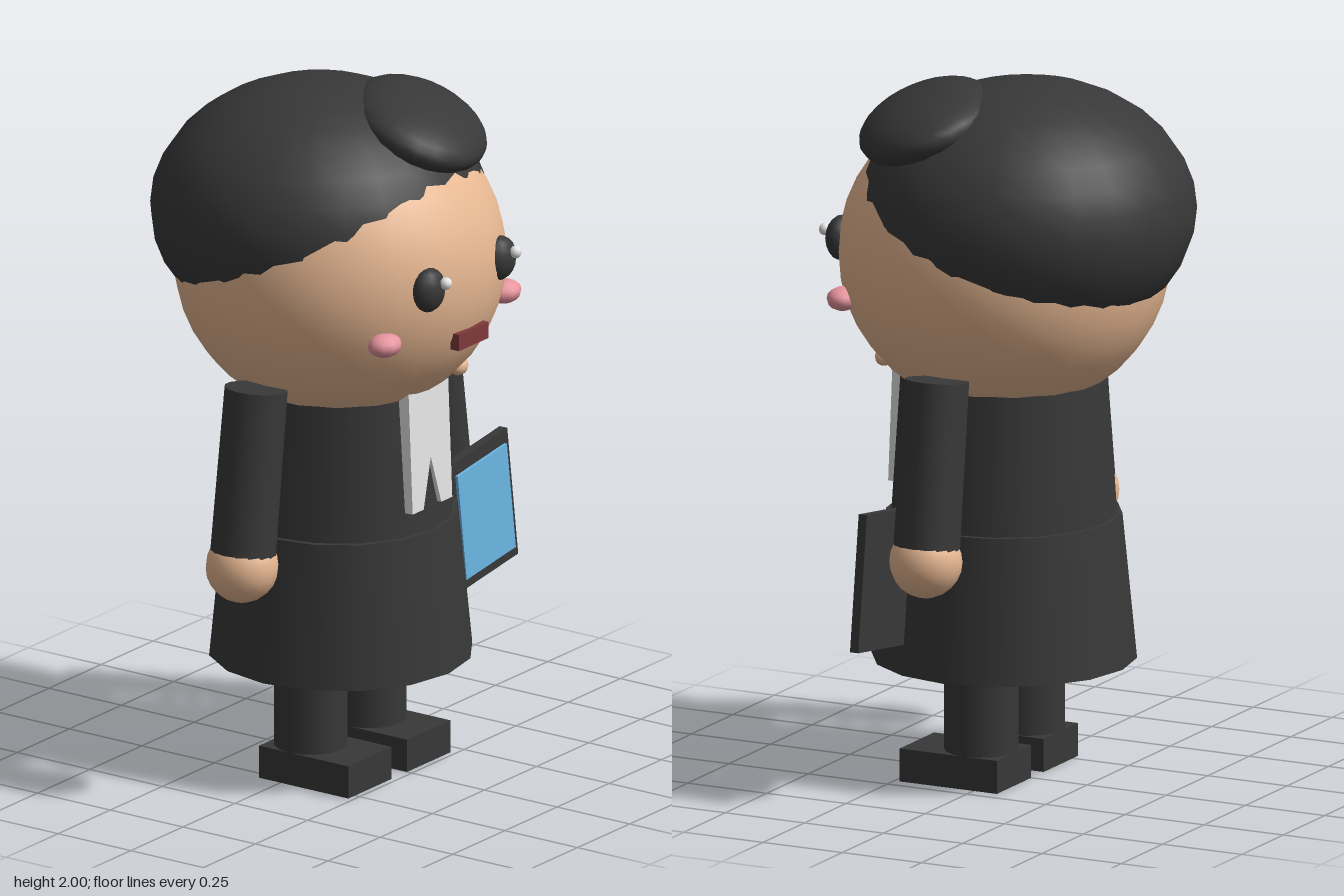
import * as THREE from 'three';

const material = (name, color) => {
  const m = new THREE.MeshStandardMaterial({ color });
  m.name = name;
  return m;
};

export function createModel() {
  const dark = material('charcoal', 0x383838);
  const skin = material('skin', 0xf0bf98);
  const white = material('white', 0xf5f5f5);
  const pink = material('cheekPink', 0xe8959f);
  const red = material('mouthRed', 0x803a3c);
  const blue = material('screenBlue', 0x70bdee);

  const model = new THREE.Group();
  model.name = 'figure';
  const CX = -0.035, CZ = 0.03; // axis of the body

  const add = (name, geometry, mat, x, y, z, parent = model) => {
    const mesh = new THREE.Mesh(geometry, mat);
    mesh.name = name;
    mesh.position.set(x, y, z);
    parent.add(mesh);
    return mesh;
  };
  const ball = (name, mat, x, y, z, rx, ry = rx, rz = rx, w = 16, h = 12) =>
    add(name, new THREE.SphereGeometry(1, w, h).scale(rx, ry, rz), mat, x, y, z);
  const tube = (name, mat, x, y0, y1, z, r0, r1, seg = 16) =>
    add(name, new THREE.CylinderGeometry(r1, r0, y1 - y0, seg), mat, x, (y0 + y1) / 2, z);

  // Gown
  tube('torso', dark, CX, 0.75, 1.2, CZ, 0.317, 0.288);
  tube('skirt', dark, CX, 0.335, 0.752, CZ, 0.373, 0.332);

  // Head and hair
  ball('head', skin, CX - 0.003, 1.5, CZ, 0.467, 0.45, 0.467, 32, 20);
  ball('hair', dark, CX - 0.004, 1.63, -0.04, 0.476, 0.37, 0.476, 24, 16);
  const quiff = ball('hairQuiff', dark, 0.102, 1.884, 0.204, 0.28, 0.088, 0.2, 24, 16);
  quiff.rotation.set(0.38, 0.576, 0, 'YXZ');

  // Face
  for (const s of [-1, 1]) {
    const side = s > 0 ? 'left' : 'right';
    ball(side + 'Eye', dark, CX + s * 0.17, 1.528, 0.455, 0.058, 0.064, 0.042, 12, 10);
    ball(side + 'EyeGlint', white, CX + 0.017 + s * 0.167, 1.55, 0.5, 0.018, 0.018, 0.018, 8, 6);
    ball(side + 'Cheek', pink, CX - 0.003 + s * 0.287, 1.385, 0.39, 0.054, 0.034, 0.046, 10, 8);
  }
  add('mouth', new THREE.BoxGeometry(0.142, 0.048, 0.03), red, CX - 0.002, 1.35, 0.475);
  ball('chinSpot', skin, 0.106, 1.192, 0.335, 0.032, 0.026, 0.026, 10, 8);

  // Arms and hands, hanging slightly outwards
  for (const s of [-1, 1]) {
    const side = s > 0 ? 'left' : 'right';
    const top = new THREE.Vector3(CX + s * 0.405, 1.218, CZ);
    const end = new THREE.Vector3(CX + s * 0.473, 0.71, CZ);
    const arm = add(side + 'Arm', new THREE.CylinderGeometry(0.09, 0.094, top.distanceTo(end), 16), dark, 0, 0, 0);
    arm.position.copy(top).add(end).multiplyScalar(0.5);
    arm.quaternion.setFromUnitVectors(new THREE.Vector3(0, 1, 0), top.clone().sub(end).normalize());
    ball(side + 'Hand', skin, end.x, end.y, end.z, 0.103);
  }

  // Legs and shoes
  for (const s of [-1, 1]) {
    const side = s > 0 ? 'left' : 'right';
    const x = CX - 0.002 + s * 0.141;
    tube(side + 'Leg', dark, x, 0.05, 0.4, CZ, 0.104, 0.104);
    add(side + 'Shoe', new THREE.BoxGeometry(0.207, 0.095, 0.307), dark, x, 0.0475, 0.08);
  }

  // Neckband with a notched lower edge
  const band = new THREE.Shape([
    [-0.095, 0.18], [-0.095, -0.18], [-0.042, -0.18], [0, -0.036],
    [0.042, -0.18], [0.095, -0.18], [0.095, 0.18],
  ].map(([x, y]) => new THREE.Vector2(x, y)));
  const neckband = add('neckband', new THREE.ExtrudeGeometry(band, { depth: 0.04, bevelEnabled: false }),
    white, CX - 0.004, 1.0, 0.302);
  neckband.rotation.x = -0.04;

  // Tablet held in the left hand
  const tablet = new THREE.Group();
  tablet.name = 'tablet';
  tablet.position.set(0.44, 0.642, 0.17);
  tablet.rotation.z = 0.135;
  model.add(tablet);
  add('tabletCase', new THREE.BoxGeometry(0.277, 0.39, 0.026), dark, 0, 0, 0, tablet);
  add('tabletScreen', new THREE.BoxGeometry(0.238, 0.32, 0.009), blue, 0, -0.004, 0.0175, tablet);

  return model;
}
